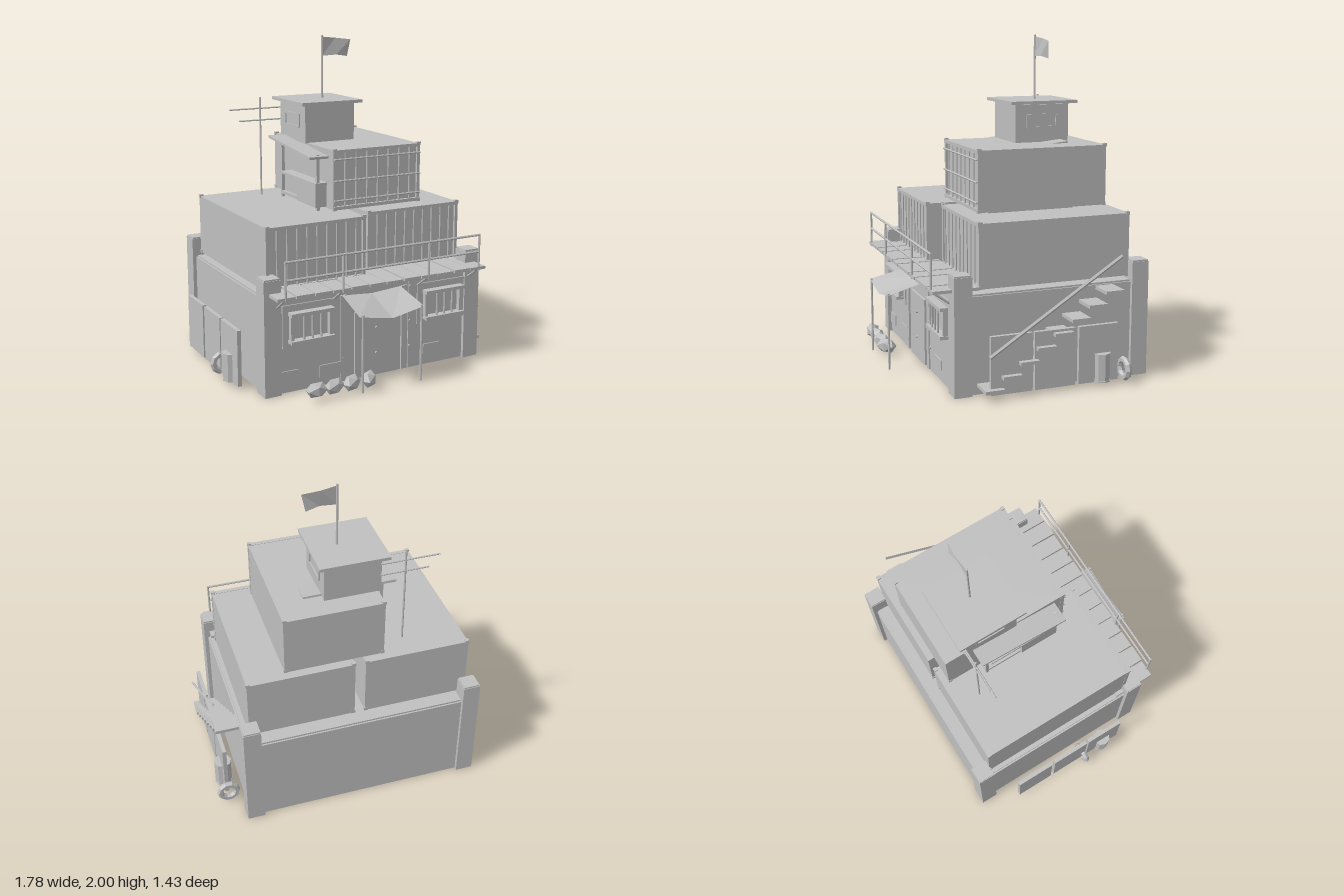
import * as THREE from 'three';

export function createModel() {
  const grey = new THREE.MeshStandardMaterial({ color: 0xc0c0c0 });
  grey.name = 'plain grey';
  grey.side = THREE.DoubleSide;
  grey.flatShading = true;
  const root = new THREE.Group();
  root.name = 'stackedOutpost';

  const add = (name, geo, x = 0, y = 0, z = 0) => {
    const m = new THREE.Mesh(geo, grey);
    m.name = name;
    m.position.set(x, y, z);
    root.add(m);
    return m;
  };
  // box given by its minimum and maximum on each axis
  const box = (name, x0, x1, y0, y1, z0, z1) =>
    add(name, new THREE.BoxGeometry(x1 - x0, y1 - y0, z1 - z0), (x0 + x1) / 2, (y0 + y1) / 2, (z0 + z1) / 2);
  // round bar between two points
  const rod = (name, a, b, r = 0.006, sides = 6) => {
    const p = new THREE.Vector3(...a), q = new THREE.Vector3(...b);
    const m = add(name, new THREE.CylinderGeometry(r, r, p.distanceTo(q), sides));
    m.position.copy(p).add(q).multiplyScalar(0.5);
    m.quaternion.setFromUnitVectors(new THREE.Vector3(0, 1, 0), q.sub(p).normalize());
    return m;
  };
  // open sheet through equal rows of points
  const sheet = (name, rows) => {
    const n = rows[0].length, idx = [];
    for (let i = 0; i < rows.length - 1; i++)
      for (let j = 0; j < n - 1; j++) {
        const a = i * n + j, b = a + n;
        idx.push(a, b, a + 1, a + 1, b, b + 1);
      }
    const g = new THREE.BufferGeometry();
    g.setAttribute('position', new THREE.Float32BufferAttribute(rows.flat(2), 3));
    g.setIndex(idx);
    g.computeVertexNormals();
    return add(name, g);
  };

  // ground floor with corner pillars
  box('groundFloor', -0.715, 0.715, 0.005, 0.575, -0.695, 0.465);
  box('roofLip', -0.705, 0.705, 0.575, 0.585, -0.685, 0.46);
  for (const s of [-1, 1]) {
    for (const z of [-0.665, 0.437]) {
      const x = s * 0.685;
      box('cornerPillar', x - 0.053, x + 0.053, 0.005, 0.695, z - 0.053, z + 0.053);
      box('pillarCap', x - 0.049, x + 0.049, 0.695, 0.704, z - 0.049, z + 0.049);
    }
  }

  // facade plating, patches and rivets
  box('leftPlate', -0.63, -0.24, 0.01, 0.575, 0.465, 0.472);
  box('rightPlate', 0.23, 0.63, 0.01, 0.575, 0.465, 0.472);
  box('door', -0.145, 0.145, 0.01, 0.42, 0.465, 0.48);
  for (const x of [-0.22, 0.2]) box('doorJamb', x - 0.02, x + 0.02, 0.01, 0.54, 0.465, 0.478);
  box('patch', -0.63, -0.52, 0.07, 0.14, 0.472, 0.479);
  box('patch', -0.38, -0.22, 0.06, 0.135, 0.472, 0.479);
  box('patch', 0.34, 0.46, 0.08, 0.14, 0.472, 0.479);
  const rivet = (x, y, z) => rod('rivet', [x, y, z], [x, y, z + 0.01], 0.008, 8);
  for (const x of [-0.64, -0.23, 0.24, 0.64]) for (const y of [0.15, 0.31, 0.53]) rivet(x, y, 0.47);
  for (const y of [0.15, 0.31]) rivet(0, y, 0.48);

  // barred windows
  for (const x of [-0.445, 0.465]) {
    box('windowPlate', x - 0.175, x + 0.175, 0.28, 0.535, 0.472, 0.48);
    for (const y of [0.32, 0.485]) box('windowSill', x - 0.14, x + 0.14, y - 0.01, y + 0.01, 0.48, 0.53);
    for (const s of [-1, 1]) box('windowSide', x + s * 0.125 - 0.01, x + s * 0.125 + 0.01, 0.31, 0.49, 0.48, 0.51);
    for (let i = -1; i <= 1; i++) rod('windowBar', [x + i * 0.055, 0.32, 0.515], [x + i * 0.055, 0.485, 0.515], 0.006);
  }

  // shipping containers with corner castings and framed, barred fronts
  const container = (x0, x1, y0, y1, z0, z1, bars, rails) => {
    box('container', x0, x1, y0, y1 - 0.004, z0, z1 - 0.015);
    for (const x of [x0 + 0.008, x1 - 0.008]) {
      box('frontPost', x - 0.01, x + 0.01, y0, y1, z1 - 0.025, z1);
      for (const y of [y0 + 0.008, y1 - 0.004]) for (const z of [z0 + 0.01, z1 - 0.008])
        box('cornerCasting', x - 0.012, x + 0.012, y - 0.01, y + 0.01, z - 0.012, z + 0.012);
    }
    for (const y of [y0 + 0.012, y1 - 0.012]) box('frontBeam', x0, x1, y - 0.01, y + 0.01, z1 - 0.025, z1 + 0.004);
    for (let i = 1; i <= bars; i++) {
      const x = x0 + ((x1 - x0) * i) / (bars + 1);
      rod('doorBar', [x, y0 + 0.015, z1], [x, y1 - 0.015, z1], 0.005);
    }
    for (const y of rails) rod('doorRail', [x0, y, z1 + 0.006], [x1, y, z1 + 0.006], 0.006);
  };
  container(-0.68, -0.034, 0.604, 0.982, -0.615, 0.405, 9, []);
  container(0.03, 0.68, 0.604, 0.982, -0.615, 0.325, 9, []);
  container(-0.158, 0.445, 0.992, 1.358, -0.575, 0.242, 7, [1.05, 1.17, 1.3]);
  for (const x of [-0.4, 0.36]) box('containerBlock', x - 0.2, x + 0.2, 0.58, 0.61, -0.1, 0.05);
  box('upperBlock', 0.05, 0.4, 0.975, 0.995, -0.38, 0.16);

  // ladder rungs in the gap between the lower containers
  for (const y of [0.66, 0.7, 0.76]) rod('rung', [-0.04, y, 0.3], [0.04, y, 0.3], 0.005);

  // plank balcony with railing
  for (let i = 0; i < 12; i++) {
    const x = -0.65 + i * 0.118, d = ((i * 5) % 3) * 0.004;
    box('plank', x - 0.055, x + 0.055, 0.604 + d / 2, 0.622 + d / 2, 0.33, 0.6 + d / 2);
  }
  for (const y of [0.72, 0.825]) rod('handrail', [-0.66, y, 0.597], [0.66, y, 0.597], 0.007);
  for (const x of [-0.655, -0.29, 0.29, 0.655]) {
    rod('railPost', [x, 0.6, 0.597], [x, 0.83, 0.597], 0.007);
    rod('brace', [x, 0.61, 0.59], [x, 0.53, 0.48], 0.007);
  }

  // cloth awning over the door
  sheet('awning', [
    [[-0.23, 0.54, 0.475], [-0.03, 0.525, 0.475], [0.17, 0.54, 0.475]],
    [[-0.25, 0.48, 0.715], [-0.03, 0.44, 0.715], [0.185, 0.48, 0.715]],
  ]);
  for (const x of [-0.225, 0.17]) rod('awningPole', [x, 0.02, 0.71], [x, 0.49, 0.71], 0.007);

  // sandbags
  for (let i = 0; i < 4; i++) {
    const bag = add('sandbag', new THREE.IcosahedronGeometry(1, 0), -0.488 + i * 0.115, 0.067, 0.643);
    bag.scale.set(0.07, 0.05, 0.044);
    bag.rotation.y = i * 0.25;
  }

  // side stairs and sloping handrail
  for (let i = 0; i < 8; i++) {
    const z = 0.292 - i * 0.1045, y = 0.06 + i * 0.0715;
    box('step', 0.71, 0.86, y - 0.01, y + 0.01, z - 0.057, z + 0.057);
  }
  const rail = rod('stairRail', [0.857, 0.26, 0.325], [0.857, 0.77, -0.48], 0.012, 4);
  rail.scale.x = 0.7;

  // leaning sheets, drums and tyres along both sides
  for (const [s, zd, zt] of [[-1, 0.18, 0.03], [1, -0.38, -0.53]]) {
    for (const z of [0.182, -0.082, -0.355])
      box('sidePanel', s * 0.815 - 0.012, s * 0.815 + 0.012, 0.03, 0.37, z - 0.125, z + 0.125);
    add('drum', new THREE.CylinderGeometry(0.052, 0.052, 0.165, 8), s * 0.815, 0.113, zd);
    for (const y of [0.035, 0.197]) add('drumRim', new THREE.CylinderGeometry(0.055, 0.055, 0.008, 8), s * 0.815, y, zd);
    add('tyre', new THREE.TorusGeometry(0.053, 0.02, 6, 10), s * 0.815, 0.085, zt);
  }

  // side stall with a tilted sheet roof
  const canopy = box('canopy', -0.285, 0.28, 1.325, 1.34, -0.4, 0.175);
  canopy.rotation.set(0.1, 0, -0.01);
  box('counter', -0.235, -0.16, 1.0, 1.14, -0.1, 0.15);
  box('counterTop', -0.24, -0.16, 1.135, 1.15, -0.32, 0.16);
  for (const z of [-0.34, 0.14]) box('stallPost', -0.225, -0.205, 0.98, 1.32, z - 0.01, z + 0.01);
  box('stallSill', -0.225, -0.205, 1.0, 1.02, -0.34, 0.14);

  // lookout cabin with flat roof and framed windows
  box('cabin', -0.173, 0.17, 1.35, 1.583, -0.45, -0.1);
  box('cabinRoof', -0.212, 0.208, 1.588, 1.607, -0.495, -0.06);
  box('roofCurb', -0.155, 0.155, 1.575, 1.59, -0.435, -0.115);
  for (const x of [-0.175, 0.173]) {
    for (const y of [1.445, 1.52]) box('cabinWindowFrame', x - 0.005, x + 0.005, y - 0.006, y + 0.006, -0.37, -0.18);
    for (const z of [-0.37, -0.18]) box('cabinWindowSide', x - 0.005, x + 0.005, 1.445, 1.52, z - 0.006, z + 0.006);
  }

  // flag
  rod('flagPole', [0.04, 1.6, -0.28], [0.04, 2, -0.28], 0.007);
  sheet('flag', [
    [[0.04, 1.99, -0.28], [0.14, 1.98, -0.29], [0.245, 1.968, -0.28]],
    [[0.04, 1.87, -0.28], [0.14, 1.875, -0.275], [0.225, 1.862, -0.29]],
  ]);

  // aerial
  rod('aerialMast', [-0.315, 0.98, -0.455], [-0.315, 1.61, -0.455], 0.006);
  rod('aerialArm', [-0.525, 1.54, -0.455], [-0.165, 1.54, -0.455], 0.005);
  rod('aerialArm', [-0.46, 1.465, -0.455], [-0.165, 1.465, -0.455], 0.005);

  return root;
}
